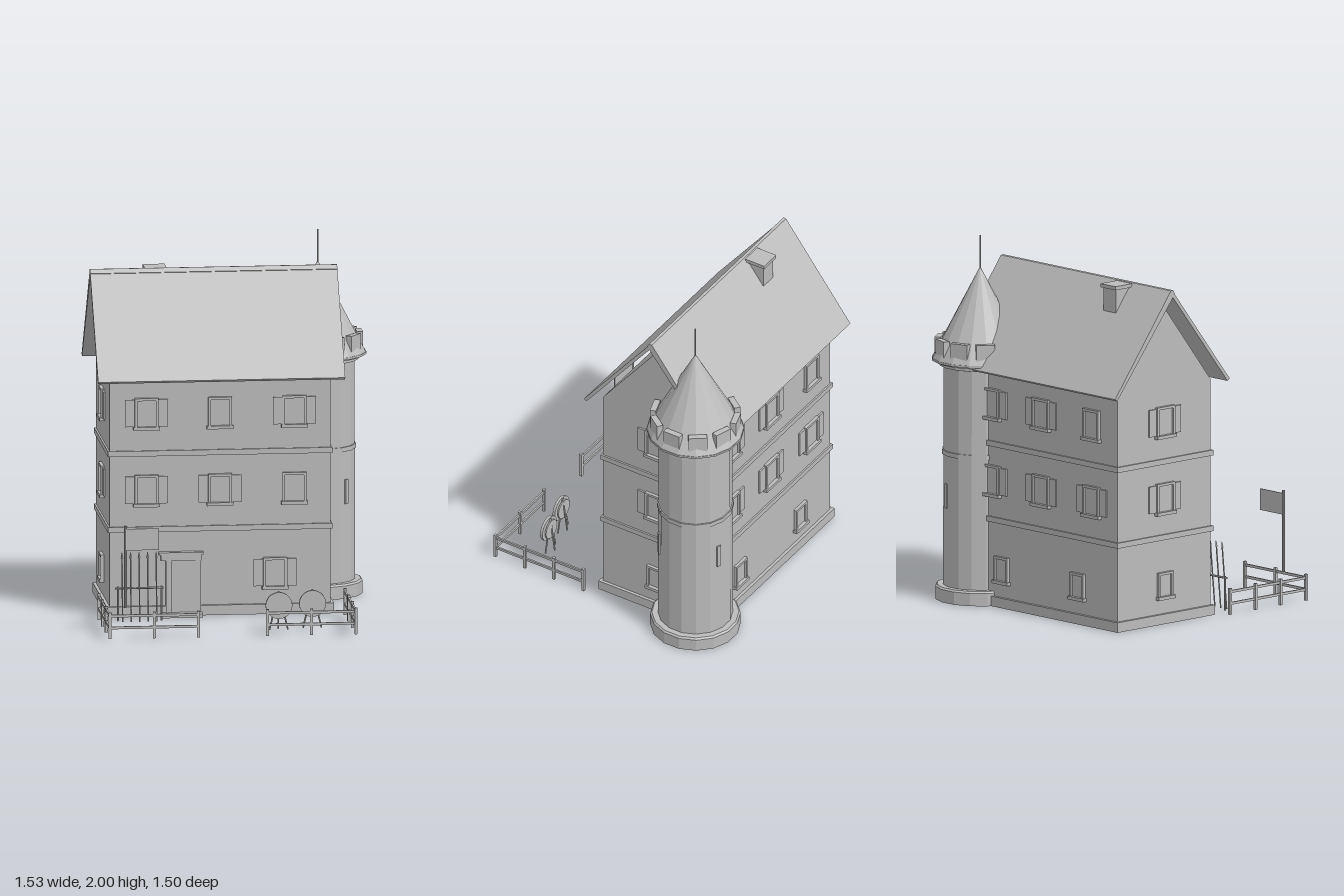
import * as THREE from 'three';

const stone = new THREE.MeshStandardMaterial({ color: 0xbcbcbc, flatShading: true, side: THREE.DoubleSide });
stone.name = 'plain grey';

function add(parent, name, geo, x = 0, y = 0, z = 0) {
  const m = new THREE.Mesh(geo, stone);
  m.name = name;
  m.position.set(x, y, z);
  parent.add(m);
  return m;
}

// Box given by its min and max corners
function box(parent, name, x0, x1, y0, y1, z0, z1) {
  return add(parent, name, new THREE.BoxGeometry(x1 - x0, y1 - y0, z1 - z0),
    (x0 + x1) / 2, (y0 + y1) / 2, (z0 + z1) / 2);
}

// Round rod between two points
function rod(parent, name, a, b, r0, r1 = r0, sides = 6) {
  const p = new THREE.Vector3(...a), d = new THREE.Vector3(...b).sub(p);
  const m = add(parent, name, new THREE.CylinderGeometry(r1, r0, d.length(), sides));
  m.position.copy(p).addScaledVector(d, 0.5);
  m.quaternion.setFromUnitVectors(new THREE.Vector3(0, 1, 0), d.normalize());
  return m;
}

// Prism with a [z, y] outline running from x0 to x1
function prism(parent, name, pts, x0, x1) {
  const shape = new THREE.Shape(pts.map(p => new THREE.Vector2(...p)));
  const geo = new THREE.ExtrudeGeometry(shape, { depth: x1 - x0, bevelEnabled: false });
  return add(parent, name, geo.rotateY(-Math.PI / 2), x1, 0, 0);
}

function part(parent, name) {
  const g = new THREE.Group();
  g.name = name;
  parent.add(g);
  return g;
}

// Window facing +z, origin at the middle of its lower edge on the wall
function makeWindow(parent, x, y, z, turn, shutters, h = 0.175, w = 0.13) {
  const g = part(parent, 'window'), a = w / 2, t = 0.014;
  box(g, 'pane', -a, a, 0, h, 0, 0.006);
  for (const s of [-1, 1]) {
    box(g, 'jamb', s * (a - t / 2) - t / 2, s * (a - t / 2) + t / 2, 0, h, 0, 0.018);
    if (shutters) box(g, 'shutter', s * (a + 0.026) - 0.026, s * (a + 0.026) + 0.026, 0.018, h - 0.008, 0, 0.01);
  }
  box(g, 'head', -a, a, h - t, h, 0, 0.018);
  box(g, 'sill', -a - 0.007, a + 0.007, 0, 0.018, 0, 0.026);
  g.position.set(x, y, z);
  g.rotation.y = turn;
}

const X0 = -0.69, X1 = 0.512, ZF = 0.1, ZB = -0.59, ZR = -0.245;

function house(root) {
  const g = part(root, 'house');
  prism(g, 'walls', [[ZF, 0], [ZF, 1.3], [ZR, 1.745], [ZB, 1.3], [ZB, 0]], X0, X1);
  box(g, 'plinth', X0 - 0.017, X1 + 0.017, 0, 0.055, ZB - 0.017, ZF + 0.017);
  for (const y of [0.462, 0.88])
    box(g, 'storeyBand', X0 - 0.01, X1 + 0.01, y, y + 0.03, ZB - 0.01, ZF + 0.01);

  // Roof slabs, standing clear of the gable
  prism(g, 'frontRoof', [[0.175, 1.305], [0.16, 1.293], [ZR - 0.005, 1.815], [ZR + 0.005, 1.835]], -0.76, 0.585);
  prism(g, 'backRoof', [[-0.675, 1.305], [-0.66, 1.293], [ZR + 0.015, 1.828], [ZR, 1.85], [ZR - 0.016, 1.848]], -0.76, 0.585);
  box(g, 'chimney', -0.448, -0.352, 1.5, 1.83, -0.377, -0.283);
  box(g, 'chimneyCap', -0.46, -0.34, 1.825, 1.845, -0.39, -0.268);

  // Windows: [x, y, shutters]
  const front = [[-0.49, 1.025, 1], [-0.09, 1.025, 0], [0.315, 1.025, 1],
    [-0.49, 0.602, 1], [-0.09, 0.602, 1], [0.315, 0.602, 0], [0.21, 0.135, 1]];
  for (const [x, y, s] of front) makeWindow(g, x, y, ZF, 0, s);
  const back = [[-0.49, 1.025, 0], [-0.09, 1.025, 1], [0.3, 1.025, 1],
    [-0.49, 0.602, 1], [-0.09, 0.602, 1], [0.3, 0.602, 1]];
  for (const [x, y, s] of back) makeWindow(g, x, y, ZB, Math.PI, s);
  for (const x of [-0.38, 0.22]) makeWindow(g, x, 0.13, ZB, Math.PI, 0, 0.15, 0.11);
  for (const [x, turn] of [[X0, -Math.PI / 2], [X1, Math.PI / 2]]) {
    for (const y of [1.025, 0.602]) makeWindow(g, x, y, ZR, turn, 1);
    makeWindow(g, x, 0.135, ZR, turn, 0, 0.15, 0.11);
  }

  // Door with jambs, lintel and step
  const d = part(g, 'door');
  box(d, 'doorLeaf', -0.36, -0.22, 0.02, 0.305, ZF, ZF + 0.02);
  box(d, 'doorJamb', -0.385, -0.355, 0, 0.31, ZF, ZF + 0.028);
  box(d, 'doorJamb', -0.225, -0.195, 0, 0.31, ZF, ZF + 0.028);
  box(d, 'lintel', -0.413, -0.192, 0.305, 0.34, ZF, ZF + 0.03);
  box(d, 'lintelCap', -0.425, -0.182, 0.338, 0.352, ZF, ZF + 0.036);
  box(d, 'step', -0.41, -0.19, 0, 0.02, ZF, 0.183);
}

function tower(root) {
  const g = part(root, 'tower');
  g.position.set(0.505, 0, -0.49);
  const N = 16, turn = Math.PI / N;
  const profile = [[0, 0], [0.245, 0], [0.245, 0.07], [0.236, 0.08], [0.203, 0.08], [0.202, 0.8],
    [0.208, 0.8], [0.208, 0.825], [0.201, 0.825], [0.2, 1.285], [0.222, 1.29], [0.222, 1.305],
    [0.242, 1.308], [0.242, 1.318], [0.265, 1.318], [0.265, 1.33], [0, 1.33]];
  add(g, 'shaft', new THREE.LatheGeometry(profile.map(p => new THREE.Vector2(...p)), N)).rotation.y = turn;
  add(g, 'coneRoof', new THREE.ConeGeometry(0.262, 0.5, N), 0, 1.58, 0).rotation.y = turn;
  rod(g, 'spire', [0, 1.8, 0], [0, 2, 0], 0.005);
  // Ring of blocks breaking through the foot of the cone
  for (let i = 0; i < 10; i++) {
    const a = i * Math.PI / 5;
    add(g, 'battlement', new THREE.BoxGeometry(0.034, 0.11, 0.102),
      0.225 * Math.cos(a), 1.385, 0.225 * Math.sin(a)).rotation.y = -a;
  }
  // Arrow slits
  for (const a of [Math.PI / 4, -1.25]) {
    add(g, 'arrowSlit', new THREE.BoxGeometry(0.012, 0.135, 0.025),
      0.2 * Math.cos(a), 0.578, 0.2 * Math.sin(a)).rotation.y = -a;
  }
}

// Fence run through the given [x, z] post positions
function fence(root, posts) {
  const g = part(root, 'fence'), r = 0.008;
  posts.forEach(([x, z], i) => {
    box(g, 'fencePost', x - r, x + r, 0, 0.145, z - r, z + r);
    if (!i) return;
    const [px, pz] = posts[i - 1], t = 0.005;
    for (const y of [0.06, 0.125])
      box(g, 'fenceRail', Math.min(x, px) - t, Math.max(x, px) + t, y - 0.007, y + 0.007,
        Math.min(z, pz) - t, Math.max(z, pz) + t);
  });
}

function yard(root) {
  const zs = [0.555, 0.37, 0.18];
  fence(root, [[-0.275, 0.745], [-0.515, 0.745], [-0.757, 0.745], ...zs.map(z => [-0.757, z])]);
  fence(root, [[0.1, 0.745], [0.34, 0.745], [0.583, 0.745], ...zs.map(z => [0.583, z])]);

  // Spear rack
  const rack = part(root, 'spearRack');
  rod(rack, 'rackBar', [-0.675, 0.18, 0.235], [-0.412, 0.18, 0.235], 0.006);
  for (const x of [-0.66, -0.422]) rod(rack, 'rackPost', [x, 0, 0.235], [x, 0.19, 0.235], 0.006);
  for (let i = 0; i < 5; i++) {
    const x = -0.637 + i * 0.0465;
    rod(rack, 'spearShaft', [x, 0, 0.268], [x, 0.35, 0.235], 0.004);
    rod(rack, 'spearHead', [x, 0.345, 0.2355], [x, 0.378, 0.232], 0.008, 0.001, 4);
  }

  // Banner on its pole
  const banner = part(root, 'banner');
  rod(banner, 'bannerPole', [-0.665, 0.155, 0.665], [-0.665, 0.605, 0.665], 0.008, 0.008, 8);
  box(banner, 'flag', -0.66, -0.482, 0.47, 0.588, 0.662, 0.668);

  // Round shooting targets on legs
  for (const [x, z] of [[0.18, 0.583], [0.367, 0.543]]) {
    const t = part(root, 'target');
    t.position.set(x, 0, z);
    add(t, 'targetDisc', new THREE.CylinderGeometry(0.073, 0.073, 0.015, 20), 0, 0.135, 0).rotation.x = Math.PI / 2;
    add(t, 'targetBacking', new THREE.CylinderGeometry(0.056, 0.056, 0.008, 20), 0, 0.135, -0.016).rotation.x = Math.PI / 2;
    for (const s of [-1, 1]) rod(t, 'targetLeg', [s * 0.05, 0, -0.012], [0, 0.21, -0.012], 0.005);
    rod(t, 'targetLeg', [0, 0, -0.04], [0, 0.21, -0.012], 0.005);
  }
}

export function createModel() {
  const root = new THREE.Group();
  root.name = 'towerHouse';
  house(root);
  tower(root);
  yard(root);
  return root;
}
